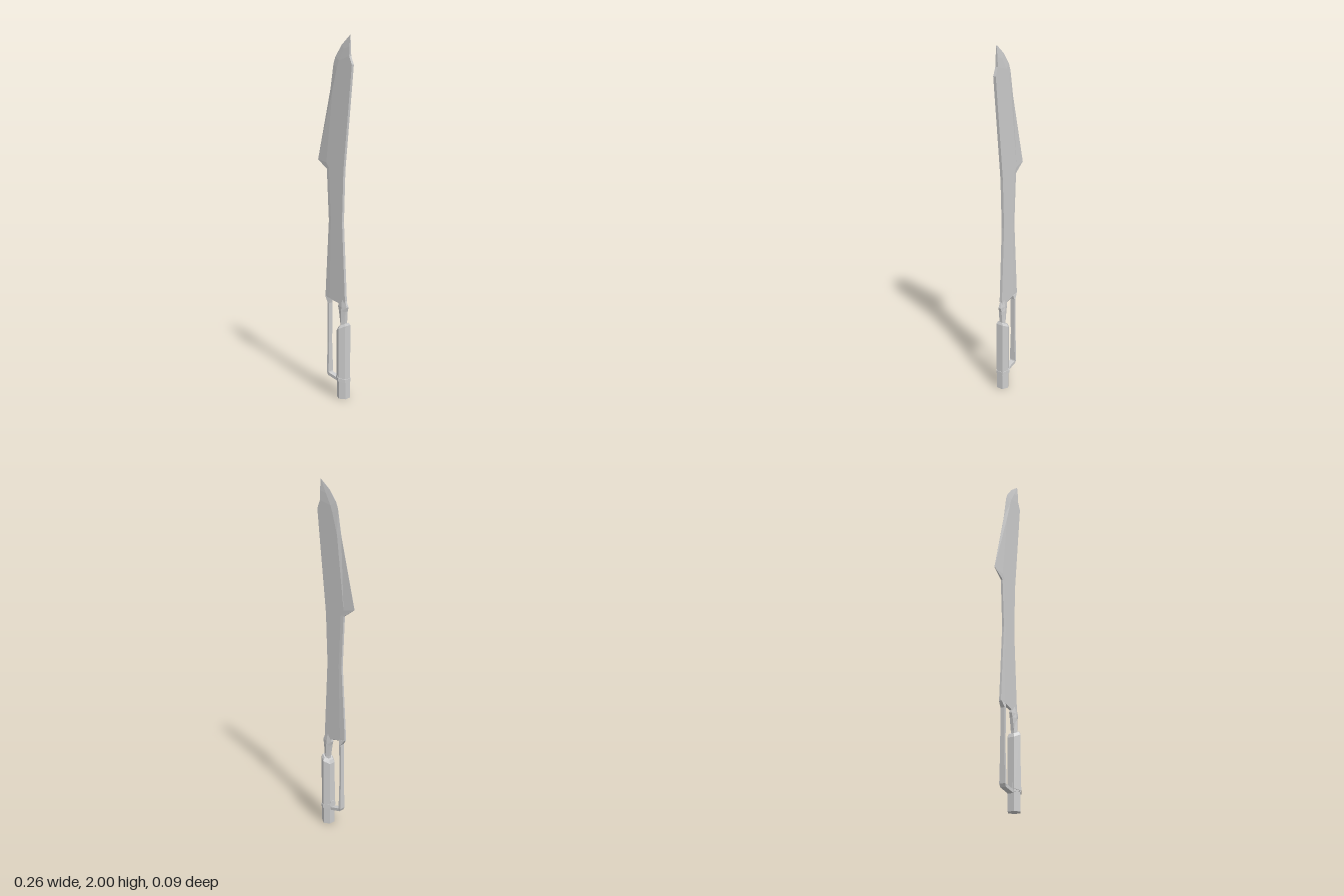
import * as THREE from 'three';

const material = new THREE.MeshStandardMaterial({ color: 0xcccccc, flatShading: true, side: THREE.DoubleSide });

// Skin a list of equal-sized loops (counter-clockwise seen from above, listed bottom to top)
function loft(name, loops) {
  const pos = [];
  const tri = (...pts) => pts.forEach((p) => pos.push(...p));
  const n = loops[0].length;
  for (let s = 0; s < loops.length - 1; s++) {
    const a = loops[s], b = loops[s + 1];
    for (let i = 0; i < n; i++) {
      const j = (i + 1) % n;
      tri(a[i], a[j], b[j]);
      tri(a[i], b[j], b[i]);
    }
  }
  const first = loops[0], last = loops[loops.length - 1];
  for (let i = 1; i < n - 1; i++) {
    tri(first[0], first[i + 1], first[i]);
    tri(last[0], last[i], last[i + 1]);
  }
  const geometry = new THREE.BufferGeometry();
  geometry.setAttribute('position', new THREE.Float32BufferAttribute(pos, 3));
  geometry.computeVertexNormals();
  const mesh = new THREE.Mesh(geometry, material);
  mesh.name = name;
  return mesh;
}

// Blade section: cutting edge, bevel line and spine, with a half thickness at each
function bladeLoop([ex, ey, et, bx, by, bt, sx, sy, st]) {
  return [[sx, sy, -st], [bx, by, -bt], [ex, ey, -et], [ex, ey, et], [bx, by, bt], [sx, sy, st]];
}

// Hexagonal section with points towards front and back; slope tilts the loop along x
function hexLoop(y, x0, x1, z, slope = 0) {
  const c = (x0 + x1) / 2, h = (x1 - x0) / 2;
  return [[1, -0.5], [0, -1], [-1, -0.5], [-1, 0.5], [0, 1], [1, 0.5]]
    .map(([u, w]) => [c + u * h, y + u * h * slope, w * z]);
}

// Rectangular section, tiltable like the hexagon
function rectLoop(x0, y0, x1, y1, z) {
  return [[x1, y1, -z], [x0, y0, -z], [x0, y0, z], [x1, y1, z]];
}

export function createModel() {
  const model = new THREE.Group();
  model.name = 'sword';

  // Blade: narrow waist, then a wide hooked head ending in a clipped point
  const t = 0.008;
  model.add(loft('blade', [
    [-0.07, 0.56, 0.006, -0.03, 0.555, t, 0.08, 0.53, t],
    [-0.07, 0.57, 0.006, -0.035, 0.57, t, 0.083, 0.565, t],
    [-0.043, 1.0, 0.006, -0.025, 1.0, t, 0.06, 1.0, t],
    [-0.058, 1.285, 0.006, -0.04, 1.29, t, 0.07, 1.28, t],
    [-0.132, 1.333, 0.0005, -0.06, 1.32, t, 0.075, 1.33, t],
    [-0.035, 1.72, 0.0005, -0.012, 1.72, t, 0.117, 1.72, t],
    [-0.012, 1.855, 0.0005, 0.02, 1.83, t, 0.13, 1.845, t],
    [0.002, 1.89, 0.0005, 0.035, 1.87, t, 0.111, 1.89, t],
    [0.048, 1.95, 0.0005, 0.07, 1.93, 0.006, 0.111, 1.94, 0.006],
    [0.11, 2.0, 0.0005, 0.111, 2.0, 0.0005, 0.112, 2.0, 0.0005],
  ].map(bladeLoop)));

  // Flared neck joining blade and grip
  model.add(loft('neck', [
    hexLoop(0.39, 0.052, 0.08, 0.02),
    hexLoop(0.43, 0.05, 0.083, 0.02),
    hexLoop(0.5, 0.038, 0.089, 0.018),
    hexLoop(0.525, 0.03, 0.096, 0.015),
    hexLoop(0.563, 0.04, 0.082, 0.009),
  ]));

  // Six-sided grip with a slanted top, collar and pommel
  model.add(loft('grip', [
    hexLoop(0.1, 0.032, 0.098, 0.041),
    hexLoop(0.405, 0.032, 0.098, 0.041, 0.5),
    hexLoop(0.422, 0.04, 0.092, 0.03, 0.5),
  ]));
  model.add(loft('collar', [
    hexLoop(0.105, 0.029, 0.1, 0.045, -0.25),
    hexLoop(0.123, 0.029, 0.1, 0.045, -0.25),
  ]));
  model.add(loft('pommel', [
    hexLoop(0, 0.033, 0.098, 0.037),
    hexLoop(0.11, 0.033, 0.098, 0.037),
  ]));

  // Hand guard: bar below the blade heel, turning in to the collar
  model.add(loft('guardBar', [
    rectLoop(-0.04, 0.108, -0.03, 0.118, 0.016),
    rectLoop(-0.048, 0.125, -0.034, 0.13, 0.018),
    rectLoop(-0.048, 0.3, -0.036, 0.3, 0.013),
    rectLoop(-0.046, 0.53, -0.034, 0.53, 0.013),
    rectLoop(-0.068, 0.562, -0.028, 0.558, 0.008),
  ]));
  model.add(loft('guardFoot', [
    [[0.04, 0.09, -0.016], [-0.04, 0.108, -0.016], [-0.04, 0.108, 0.016], [0.04, 0.09, 0.016]],
    [[0.04, 0.107, -0.016], [-0.036, 0.125, -0.016], [-0.036, 0.125, 0.016], [0.04, 0.107, 0.016]],
  ]));
  const tab = new THREE.Mesh(new THREE.BoxGeometry(0.01, 0.04, 0.03), material);
  tab.name = 'collarTab';
  tab.position.set(0.033, 0.125, 0);
  model.add(tab);

  return model;
}
